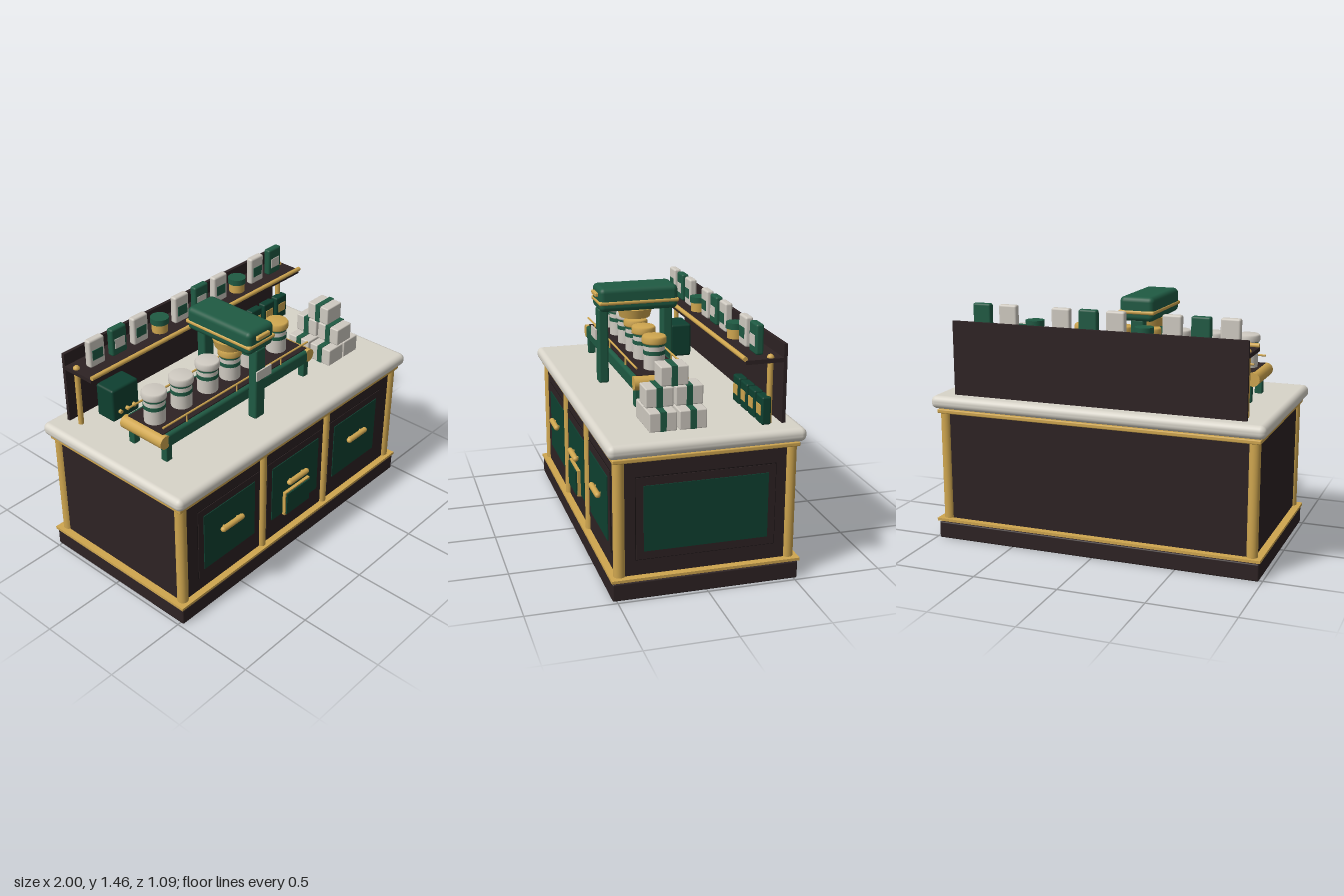
import * as THREE from 'three';
import { RoundedBoxGeometry } from 'three/addons/geometries/RoundedBoxGeometry.js';

const mat = (name, color) => {
  const m = new THREE.MeshStandardMaterial({ color });
  m.name = name;
  return m;
};

export function createModel() {
  const wood = mat('dark wood', 0x2d2223);
  const gold = mat('brass', 0xcfa64f);
  const green = mat('green enamel', 0x1f5a43);
  const deepGreen = mat('deep green', 0x0e4030);
  const stone = mat('pale stone', 0xd8d4c9);
  const paper = mat('off white', 0xcfcac1);
  const groove = mat('groove black', 0x171112);

  const root = new THREE.Group();
  root.name = 'packingCounter';

  const add = (name, geo, m, x, y, z, parent = root) => {
    const mesh = new THREE.Mesh(geo, m);
    mesh.name = name;
    mesh.position.set(x, y, z);
    parent.add(mesh);
    return mesh;
  };
  const group = (name, x = 0, y = 0, z = 0) => {
    const g = new THREE.Group();
    g.name = name;
    g.position.set(x, y, z);
    root.add(g);
    return g;
  };
  // Box given by its ranges, rounded when r > 0
  const box = (name, m, [x0, x1], [y0, y1], [z0, z1], r = 0, parent = root) => {
    const s = [x1 - x0, y1 - y0, z1 - z0];
    const geo = r ? new RoundedBoxGeometry(...s, 3, r) : new THREE.BoxGeometry(...s);
    return add(name, geo, m, (x0 + x1) / 2, (y0 + y1) / 2, (z0 + z1) / 2, parent);
  };
  // Upright cylinder from y0 to y1
  const post = (name, m, r, y0, y1, x, z, parent = root, rTop = r) =>
    add(name, new THREE.CylinderGeometry(rTop, r, y1 - y0, 24), m, x, (y0 + y1) / 2, z, parent);
  // Horizontal cylinder along x or z
  const bar = (name, m, r, len, axis, x, y, z, parent = root) => {
    const geo = new THREE.CylinderGeometry(r, r, len, 20);
    if (axis === 'x') geo.rotateZ(Math.PI / 2); else geo.rotateX(Math.PI / 2);
    return add(name, geo, m, x, y, z, parent);
  };

  // Cabinet
  box('plinth', wood, [-0.98, 0.98], [0, 0.1], [-0.52, 0.523], 0.008);
  box('lowerTrim', gold, [-0.988, 0.988], [0.108, 0.124], [-0.528, 0.528]);
  box('plinthCap', wood, [-0.96, 0.96], [0.09, 0.11], [-0.5, 0.5]);
  box('cabinetBody', wood, [-0.945, 0.945], [0.12, 0.8], [-0.488, 0.488]);
  box('upperTrim', gold, [-0.97, 0.97], [0.768, 0.792], [-0.514, 0.514], 0.006);
  box('counterTop', stone, [-1, 1], [0.798, 0.875], [-0.543, 0.543], 0.034);
  for (const x of [-0.93, 0.93])
    for (const z of [-0.475, 0.475]) post('cornerPost', gold, 0.032, 0.12, 0.77, x, z);
  for (const x of [-0.283, 0.283]) post('dividerPost', gold, 0.024, 0.12, 0.77, x, 0.487);

  // Framed panels: thin groove, wood frame, green field
  const panel = (name, w, x, z, turn) => {
    const g = group(name, x, 0.445, z);
    g.rotation.y = turn;
    const plate = (n, m, pw, ph, z0, z1) =>
      box(n, m, [-pw / 2, pw / 2], [-ph / 2, ph / 2], [z0, z1], 0, g);
    plate('panelGroove', groove, w, 0.47, -0.004, 0.002);
    plate('panelFrame', wood, w - 0.008, 0.462, -0.004, 0.006);
    plate('panelField', deepGreen, w - 0.09, 0.37, 0, 0.011);
  };
  for (const x of [-0.568, 0, 0.568]) {
    panel('frontPanel', 0.505, x, 0.488, 0);
    const handle = new THREE.CapsuleGeometry(0.017, 0.15, 6, 16).rotateZ(Math.PI / 2);
    add('drawerHandle', handle, gold, x, 0.475, 0.519);
    for (const s of [-1, 1]) bar('handleStem', gold, 0.009, 0.03, 'z', x + s * 0.055, 0.475, 0.505);
  }
  panel('sidePanel', 0.78, 0.945, 0, Math.PI / 2);
  box('hatchFrame', gold, [-0.112, 0.112], [0.25, 0.412], [0.497, 0.518]);
  box('hatch', deepGreen, [-0.103, 0.103], [0.259, 0.403], [0.5, 0.527]);

  // Back board and shelf
  box('backBoard', wood, [-0.877, 0.877], [0.873, 1.31], [-0.46, -0.44]);
  box('shelf', wood, [-0.877, 0.877], [1.212, 1.235], [-0.441, -0.228]);
  bar('shelfRail', gold, 0.013, 1.75, 'x', 0, 1.243, -0.226);
  for (const x of [-0.85, 0.85]) {
    post('shelfPost', gold, 0.016, 0.873, 1.235, x, -0.375);
    add('shelfPostCap', new THREE.SphereGeometry(0.02, 16, 10), gold, x, 1.235, -0.375);
  }

  // Row of goods on the shelf: W white packet, G green packet, J jar
  [...'WGWJWGWJWG'].forEach((kind, i) => {
    const g = group(kind === 'J' ? 'shelfJar' : 'shelfPacket', -0.745 + i * 0.1652, 1.235, -0.335);
    if (kind === 'J') {
      post('jarBody', gold, 0.047, 0, 0.06, 0, 0, g);
      post('jarLid', green, 0.054, 0.055, 0.09, 0, 0, g);
    } else {
      const [main, label] = kind === 'W' ? [paper, green] : [green, paper];
      box('packet', main, [-0.056, 0.056], [0, 0.168], [-0.022, 0.022], 0.012, g);
      box('packetLabel', label, [-0.037, 0.037], [0.045, 0.105], [0.018, 0.025], 0, g);
    }
  });

  // Goods and control box under the shelf
  for (let i = 0; i < 4; i++) {
    const g = group('tin', 0.47 + i * 0.121, 0.873, -0.35);
    box('tinBody', deepGreen, [-0.05, 0.05], [0, 0.155], [-0.026, 0.026], 0.01, g);
    box('tinLabel', gold, [-0.032, 0.032], [0.05, 0.108], [0.022, 0.03], 0, g);
  }
  box('controlBox', deepGreen, [-0.725, -0.525], [0.873, 1.08], [-0.375, -0.24], 0.014);
  for (const x of [-0.676, -0.624, -0.572]) bar('controlKnob', gold, 0.012, 0.024, 'z', x, 0.93, -0.236);

  // Conveyor
  const cz = 0.097;
  box('conveyorBed', wood, [-0.8, 0.4], [0.985, 1.055], [-0.035, 0.229]);
  for (const x of [-0.8, 0.4]) {
    bar('endRoller', gold, 0.04, 0.31, 'z', x, 1.012, cz);
    for (const s of [-1, 1])
      box('conveyorLeg', green, [x * 0.96 - 0.022, x * 0.96 + 0.022], [0.873, 0.99],
        [cz + s * 0.125 - 0.022, cz + s * 0.125 + 0.022], 0.006);
  }
  for (const s of [-1, 1]) {
    box('sideRail', green, [-0.79, 0.39], [0.966, 1.05], [cz + s * 0.138 - 0.018, cz + s * 0.138 + 0.018], 0.016);
    bar('guideRail', gold, 0.006, 1.2, 'x', -0.2, 1.097, cz + s * 0.136);
    for (const x of [-0.62, -0.22, 0.16]) post('guideStem', gold, 0.005, 1.04, 1.097, x, cz + s * 0.136);
  }

  // Canisters on the conveyor
  [[-0.725, paper], [-0.52, paper], [-0.312, paper], [-0.128, gold], [0.05, gold], [0.277, gold]].forEach(([x, lid]) => {
    const g = group('canister', x, 1.055, cz);
    post('canisterBody', paper, 0.06, 0, 0.15, 0, 0, g);
    post('canisterBand', green, 0.062, 0.085, 0.108, 0, 0, g);
    post('canisterNeck', green, 0.061, 0.134, 0.15, 0, 0, g);
    const profile = [[0, 0.148], [0.068, 0.148], [0.07, 0.155], [0.07, 0.18], [0.063, 0.19], [0, 0.191]];
    add('canisterLid', new THREE.LatheGeometry(profile.map((p) => new THREE.Vector2(...p)), 28), lid, 0, 0, 0, g);
  });

  // Press gantry straddling the conveyor
  const px = -0.128;
  for (const z of [-0.09, 0.3])
    box('pressColumn', green, [px - 0.04, px + 0.04], [0.873, 1.325], [z - 0.03, z + 0.03], 0.012);
  box('pressHead', green, [px - 0.104, px + 0.104], [1.314, 1.455], [-0.137, 0.334], 0.03);
  box('pressBand', gold, [px - 0.109, px + 0.109], [1.355, 1.378], [-0.142, 0.339], 0.01);
  box('pressBadge', gold, [px - 0.052, px + 0.052], [1.397, 1.424], [0.325, 0.351], 0.008);
  box('pressPlate', paper, [px - 0.06, px + 0.06], [1.147, 1.207], [0.345, 0.354]);
  post('plateStem', green, 0.01, 1.165, 1.19, px, 0.337);
  post('pressStamp', gold, 0.09, 1.262, 1.315, px, cz + 0.005, root, 0.105);

  // Stack of ribboned cartons
  const cartons = [
    [0.63, 0, 0.205], [0.63, 0, 0.04], [0.77, 0, 0.205], [0.77, 0, 0.04],
    [0.7, 1, 0.205], [0.7, 1, 0.04], [0.7, 2, 0.123],
  ];
  for (const [x, level, z] of cartons) {
    const g = group('carton', x, 0.873 + level * 0.112, z);
    box('cartonBox', paper, [-0.066, 0.066], [0, 0.106], [-0.076, 0.076], 0.007, g);
    box('cartonRibbon', green, [-0.069, 0.069], [-0.001, 0.109], [-0.017, 0.017], 0, g);
  }
  return root;
}
